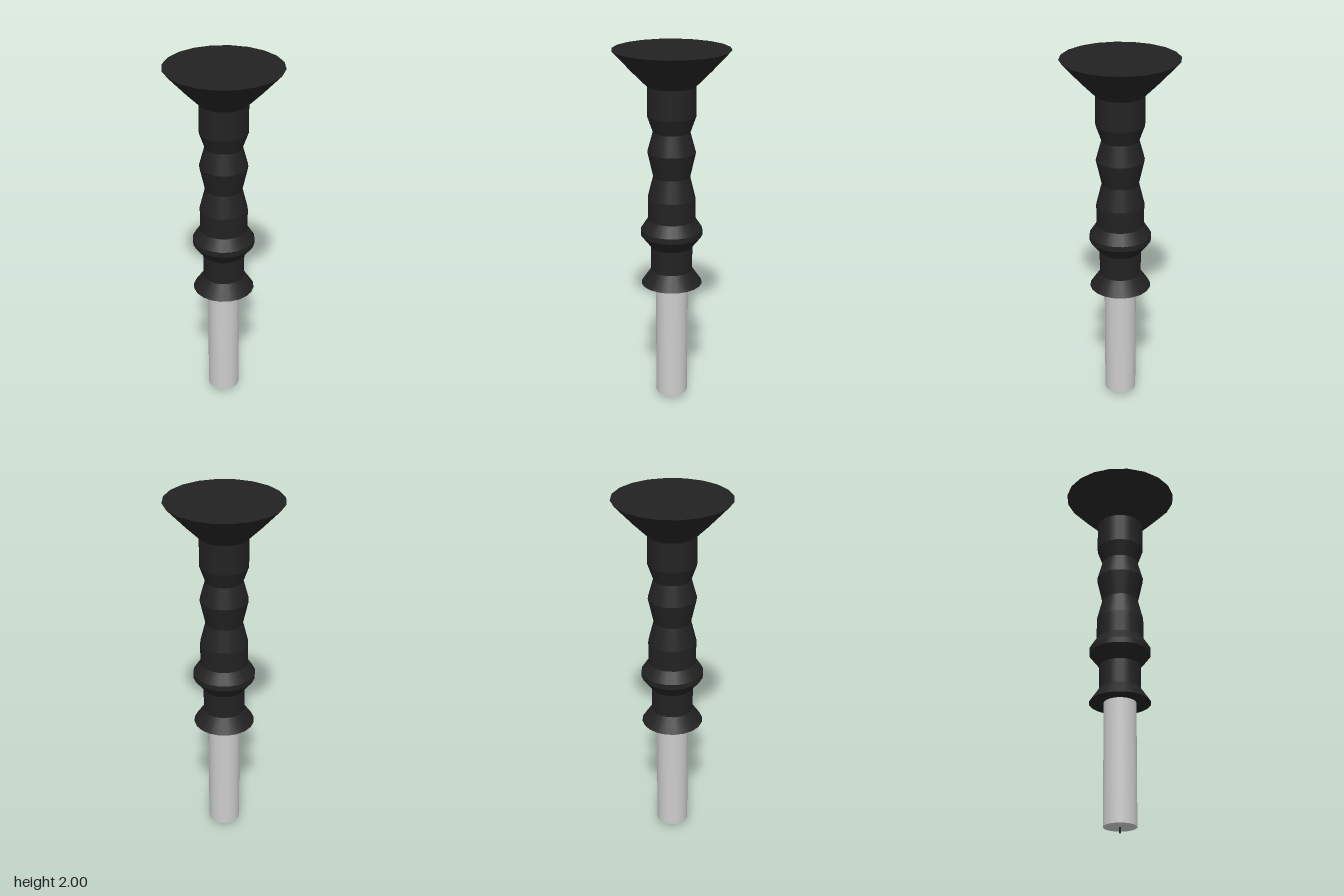
import * as THREE from 'three';
import { mergeGeometries } from 'three/addons/utils/BufferGeometryUtils.js';

const SIDES = 20;
const black = new THREE.MeshStandardMaterial({ name: 'black rubber', color: 0x222222 });
const silver = new THREE.MeshStandardMaterial({ name: 'light grey metal', color: 0xcccccc });

// Stack of frustums following [radius, y] points from bottom to top:
// smooth around the axis, sharp at every ring, closed at both ends.
function turned(name, points, material, sides = SIDES) {
  const parts = [];
  for (let i = 0; i < points.length - 1; i++) {
    const [r0, y0] = points[i];
    const [r1, y1] = points[i + 1];
    parts.push(new THREE.CylinderGeometry(r1, r0, y1 - y0, sides, 1, true).translate(0, (y0 + y1) / 2, 0));
  }
  const [rBottom, yBottom] = points[0];
  const [rTop, yTop] = points[points.length - 1];
  parts.push(new THREE.CircleGeometry(rBottom, sides).rotateX(Math.PI / 2).translate(0, yBottom, 0));
  parts.push(new THREE.CircleGeometry(rTop, sides).rotateX(-Math.PI / 2).translate(0, yTop, 0));
  const mesh = new THREE.Mesh(mergeGeometries(parts), material);
  mesh.name = name;
  return mesh;
}

export function createModel() {
  const model = new THREE.Group();
  model.name = 'handledTool';

  // Grip with flared foot, collar, finger grooves and wide flared head
  model.add(turned('handle', [
    [0.168, 0.705], [0.114, 0.785], [0.114, 0.92],  // foot and neck
    [0.169, 0.99], [0.169, 1.02], [0.13, 1.08],     // collar
    [0.13, 1.2], [0.1, 1.32], [0.13, 1.455],        // grooves
    [0.1, 1.565], [0.13, 1.65], [0.13, 1.81],
    [0.21, 1.89], [0.312, 2],                       // head
  ], black));

  // Metal shaft below the grip
  model.add(turned('shaft', [[0.088, 0.03], [0.088, 0.71]], silver, 32));

  // Thin pin at the tip
  model.add(turned('tipPin', [[0.006, 0], [0.006, 0.04]], black, 8));

  return model;
}
